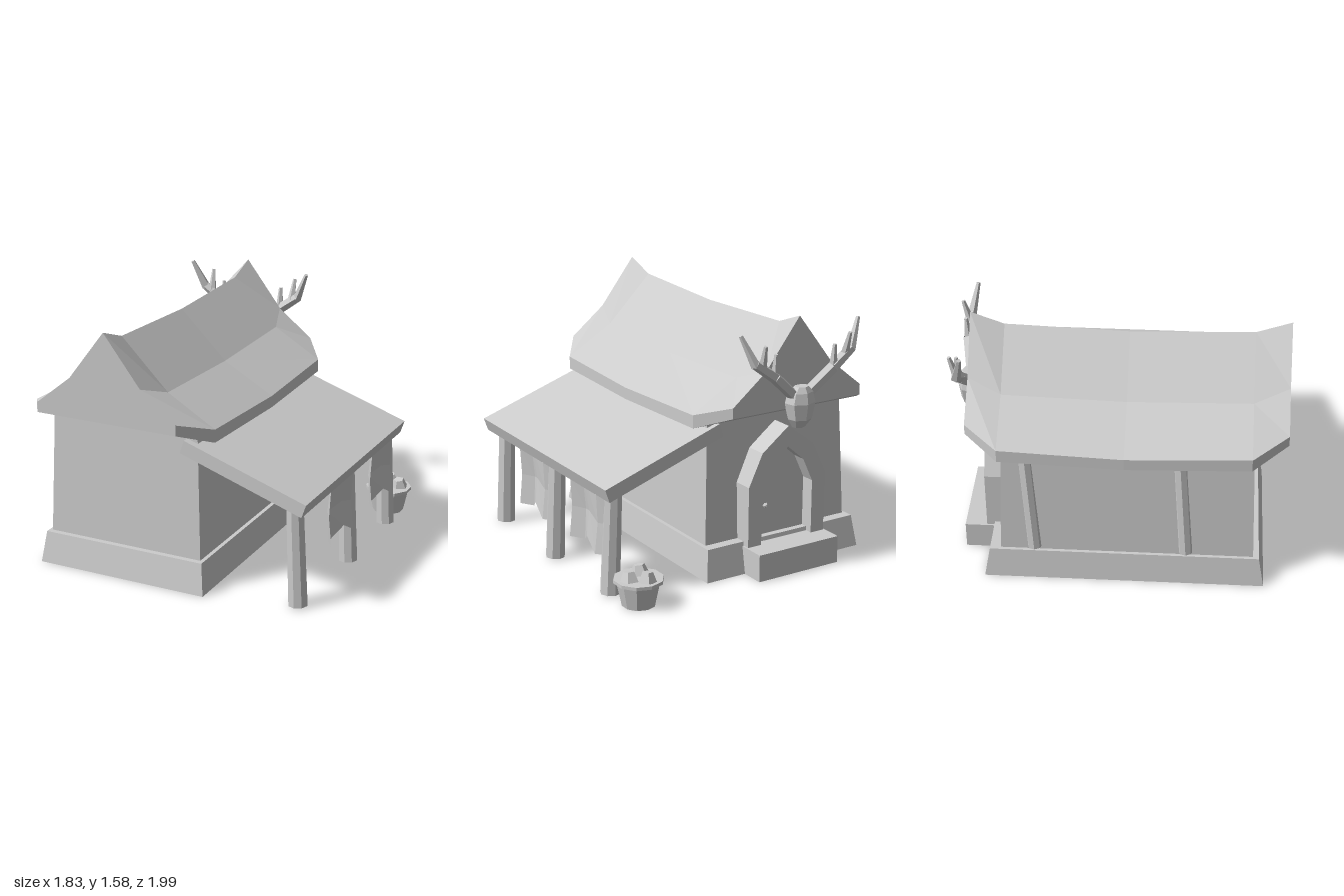
import * as THREE from 'three';

const gray = new THREE.MeshStandardMaterial({ color: 0xcccccc, flatShading: true, side: THREE.DoubleSide });
gray.name = 'plain gray';

const CX = -0.285; // centre line of the house

function part(group, name, geometry) {
  const mesh = new THREE.Mesh(geometry, gray);
  mesh.name = name;
  group.add(mesh);
  return mesh;
}

// Skin a series of closed rings; rings run counter-clockwise seen from the last one
function loft(rings, capStart = true) {
  const out = [];
  const tri = (a, b, c) => out.push(...a, ...b, ...c);
  const n = rings[0].length;
  for (let s = 0; s < rings.length - 1; s++) {
    const a = rings[s], b = rings[s + 1];
    for (let i = 0; i < n; i++) {
      const j = (i + 1) % n;
      tri(a[i], a[j], b[j]);
      tri(a[i], b[j], b[i]);
    }
  }
  const first = rings[0], last = rings[rings.length - 1];
  for (let i = 1; i < n - 1; i++) {
    if (capStart) tri(first[0], first[i + 1], first[i]);
    tri(last[0], last[i], last[i + 1]);
  }
  const g = new THREE.BufferGeometry();
  g.setAttribute('position', new THREE.Float32BufferAttribute(out, 3));
  g.computeVertexNormals();
  return g;
}

const rect = (y, x0, x1, z0, z1) => [[x1, y, z1], [x1, y, z0], [x0, y, z0], [x0, y, z1]];

// Tapered straight limb between two points
function limb(group, name, a, b, ra, rb, sides) {
  const from = new THREE.Vector3(...a), to = new THREE.Vector3(...b);
  const dir = to.clone().sub(from);
  const mesh = part(group, name, new THREE.CylinderGeometry(rb, ra, dir.length(), sides));
  mesh.position.copy(from).add(to).multiplyScalar(0.5);
  mesh.quaternion.setFromUnitVectors(new THREE.Vector3(0, 1, 0), dir.normalize());
}

function archShape(w, spring, kneeX, kneeY, top) {
  return [[-w, 0.08], [w, 0.08], [w, spring], [kneeX, kneeY], [0, top], [-kneeX, kneeY], [-w, spring]]
    .map(([x, y]) => new THREE.Vector2(x, y));
}

function buildHouse(house) {
  // Plinth, open underneath, and tapered walls
  part(house, 'base', loft([rect(0, -0.845, 0.275, -0.81, 0.9), rect(0.195, -0.82, 0.25, -0.775, 0.865)], false));
  part(house, 'walls', loft([rect(0.195, -0.8, 0.225, -0.71, 0.83), rect(0.96, -0.77, 0.2, -0.68, 0.805)]));

  // Sagging roof: [z, ridge y, fold x, fold y, eave x, eave top, eave bottom]
  const sections = [
    [-0.89, 1.575, 0.235, 1.27, 0.46, 1.09, 1.025],
    [-0.69, 1.5, 0.3, 1.2, 0.605, 1.02, 0.94],
    [0.05, 1.475, 0.3, 1.18, 0.62, 1.0, 0.927],
    [0.79, 1.5, 0.3, 1.2, 0.605, 1.02, 0.94],
    [1.0, 1.575, 0.235, 1.27, 0.46, 1.09, 1.025],
  ];
  part(house, 'roof', loft(sections.map(([z, ridge, fx, fy, ex, et, eb]) =>
    [[0, eb], [ex, eb], [ex, et], [fx, fy], [0, ridge], [-fx, fy], [-ex, et], [-ex, eb]]
      .map(([x, y]) => [x - 0.3, y, z]))));

  // Half-buried timbers on the plain side wall
  for (const z of [-0.5, 0.42])
    limb(house, 'wallTimber', [-0.788, 0.21, z], [-0.745, 0.94, z - 0.05], 0.045, 0.047, 8);
}

function buildEntrance(entrance) {
  const frame = new THREE.Shape(archShape(0.28, 0.55, 0.185, 0.75, 0.89));
  frame.holes.push(new THREE.Path(archShape(0.185, 0.51, 0.115, 0.66, 0.76)));
  part(entrance, 'doorArch', new THREE.ExtrudeGeometry(frame, { depth: 0.14, bevelEnabled: false }))
    .position.set(CX, 0, -0.825);
  const door = new THREE.Shape(archShape(0.19, 0.51, 0.12, 0.66, 0.77));
  part(entrance, 'door', new THREE.ExtrudeGeometry(door, { depth: 0.04, bevelEnabled: false }))
    .position.set(CX, 0, -0.735);
  part(entrance, 'doorKnob', new THREE.IcosahedronGeometry(0.018, 0)).position.set(CX + 0.1, 0.38, -0.745);
  // Step, open underneath
  part(entrance, 'doorStep', loft([0, 0.17].map(y => rect(y, CX - 0.29, CX + 0.29, -0.96, -0.76)), false));
}

function buildPorch(porch) {
  const roof = part(porch, 'porchRoof', new THREE.BoxGeometry(0.817, 0.085, 1.565));
  roof.position.set(0.507, 0.773, 0.068);
  roof.rotation.z = -0.324;

  // Leaning posts: [z, x offset]
  for (const [z, dx] of [[0.747, 0], [0.033, 0.02], [-0.623, 0.01]])
    limb(porch, 'porchPost', [0.823 + dx, 0.005, z], [0.793 + dx, 0.655, z], 0.06, 0.053, 8);

  // Pleated cloths with a jagged hem: [distance along z, x, hem height]
  const pleats = [[0, 0.885, 0.24], [0.085, 0.83, 0.24], [0.2, 0.88, 0.31], [0.32, 0.895, 0.24], [0.395, 0.855, 0.25]];
  for (const z0 of [0.41, -0.24]) {
    const rows = [0, 0.5, 1].map(t => pleats.map(([dz, x, hem]) => [
      0.855 + (x - 0.855) * (0.7 + 0.3 * t) - 0.015 * Math.sin(Math.PI * t),
      0.62 + (hem - 0.62) * t,
      z0 - dz,
    ]));
    const index = [];
    for (let r = 0; r < 2; r++) for (let i = 0; i < 4; i++) {
      const a = r * 5 + i, b = a + 5;
      index.push(a, b, b + 1, a, b + 1, a + 1);
    }
    const cloth = new THREE.BufferGeometry();
    cloth.setAttribute('position', new THREE.Float32BufferAttribute(rows.flat(2), 3));
    cloth.setIndex(index);
    cloth.computeVertexNormals();
    part(porch, 'hangingCloth', cloth);
  }
}

function buildBasket(basket) {
  part(basket, 'basketBody', new THREE.CylinderGeometry(0.132, 0.1, 0.15, 10, 1, true)).position.y = 0.075;
  part(basket, 'basketRim', new THREE.CylinderGeometry(0.149, 0.149, 0.02, 10)).position.y = 0.155;
  // Five-sided lumps heaped on top
  for (const [x, z, turn] of [[-0.015, -0.07, 0.3], [0.068, -0.01, 1.2], [-0.035, 0.05, 2]]) {
    const lump = part(basket, 'basketLump', new THREE.CylinderGeometry(0.034, 0.058, 0.06, 5));
    lump.position.set(x, 0.19, z);
    lump.rotation.set(0.1, turn, 0.1);
  }
  basket.position.set(0.768, 0, -0.84);
}

function buildTrophy(trophy) {
  // Head: tapered rings, [y, radius, z]
  const rings = [[0.905, 0.04, -0.9], [0.96, 0.075, -0.91], [1.06, 0.098, -0.905], [1.125, 0.08, -0.91], [1.16, 0.045, -0.92]];
  part(trophy, 'animalHead', loft(rings.map(([y, r, z]) => Array.from({ length: 7 }, (_, i) => {
    const a = (i / 7) * Math.PI * 2 + Math.PI / 2;
    return [-0.3 + r * Math.cos(a), y, z - r * Math.sin(a) * 0.88];
  }))));

  // Mirrored antlers: [from, to, start radius, end radius]
  const tines = [
    [[0.04, 1.1, -0.91], [0.21, 1.25, -0.945], 0.036, 0.036],
    [[0.21, 1.25, -0.945], [0.345, 1.345, -0.94], 0.036, 0.03],
    [[0.34, 1.335, -0.94], [0.42, 1.515, -0.9], 0.03, 0.013],
    [[0.21, 1.25, -0.945], [0.21, 1.39, -0.955], 0.027, 0.012],
    [[0.295, 1.31, -0.94], [0.302, 1.455, -0.98], 0.027, 0.012],
  ];
  for (const side of [-1, 1])
    for (const [a, b, ra, rb] of tines)
      limb(trophy, side > 0 ? 'leftAntler' : 'rightAntler',
        [-0.3 + side * a[0], a[1], a[2]], [-0.3 + side * b[0], b[1], b[2]], ra, rb, 5);
}

export function createModel() {
  const model = new THREE.Group();
  model.name = 'huntingLodge';
  const builders = { house: buildHouse, entrance: buildEntrance, porch: buildPorch, basket: buildBasket, trophy: buildTrophy };
  for (const [name, build] of Object.entries(builders)) {
    const group = new THREE.Group();
    group.name = name;
    build(group);
    model.add(group);
  }
  return model;
}
